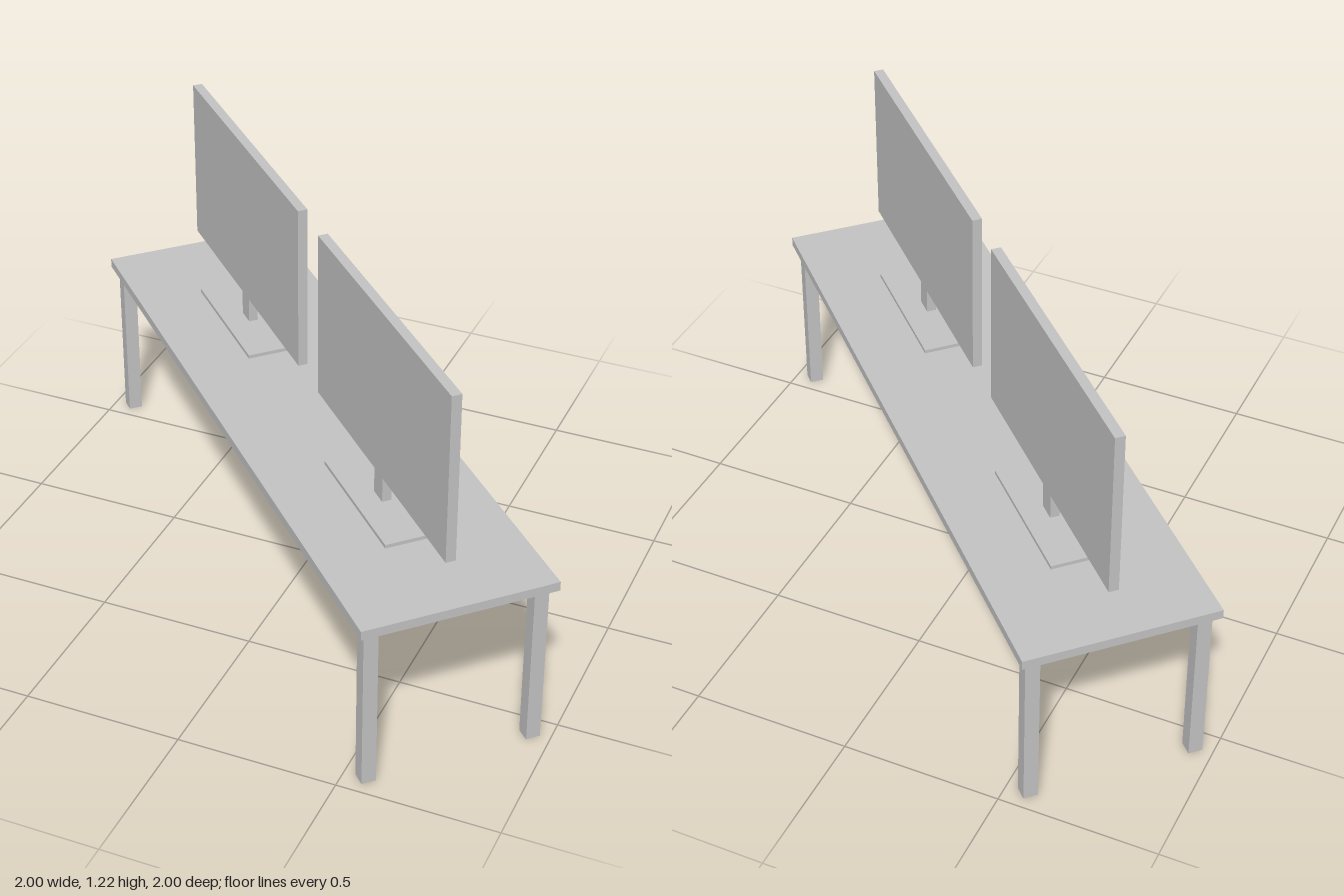
import * as THREE from 'three';

export function createModel() {
  const model = new THREE.Group();
  model.name = 'deskWithScreens';

  const grey = new THREE.MeshStandardMaterial({ color: 0xc4c4c4 });
  grey.name = 'plain grey';

  // Box resting on a given height
  function box(parent, name, w, h, d, x, bottom, z) {
    const mesh = new THREE.Mesh(new THREE.BoxGeometry(w, h, d), grey);
    mesh.name = name;
    mesh.position.set(x, bottom + h / 2, z);
    parent.add(mesh);
  }

  // The desk stands diagonally; its long side is the local x axis
  const desk = new THREE.Group();
  desk.name = 'desk';
  desk.rotation.y = -Math.PI / 4;
  model.add(desk);

  box(desk, 'tableTop', 2.222, 0.03, 0.606, 0, 0.546, 0);

  // Four square legs, slightly inset from the corners
  for (const sx of [-1, 1]) {
    for (const sz of [-1, 1]) {
      box(desk, 'leg', 0.045, 0.546, 0.045, sx * 1.062, 0, sz * 0.261);
    }
  }

  // Two screens side by side, each with a neck and a foot plate
  for (const side of [-1, 1]) {
    const screen = new THREE.Group();
    screen.name = side < 0 ? 'rightScreen' : 'leftScreen';
    screen.position.x = side * 0.554;
    desk.add(screen);
    box(screen, 'footPlate', 0.46, 0.012, 0.182, 0, 0.576, 0);
    box(screen, 'neck', 0.06, 0.084, 0.03, 0, 0.588, 0);
    box(screen, 'panel', 0.946, 0.546, 0.031, 0, 0.672, 0);
  }

  return model;
}
